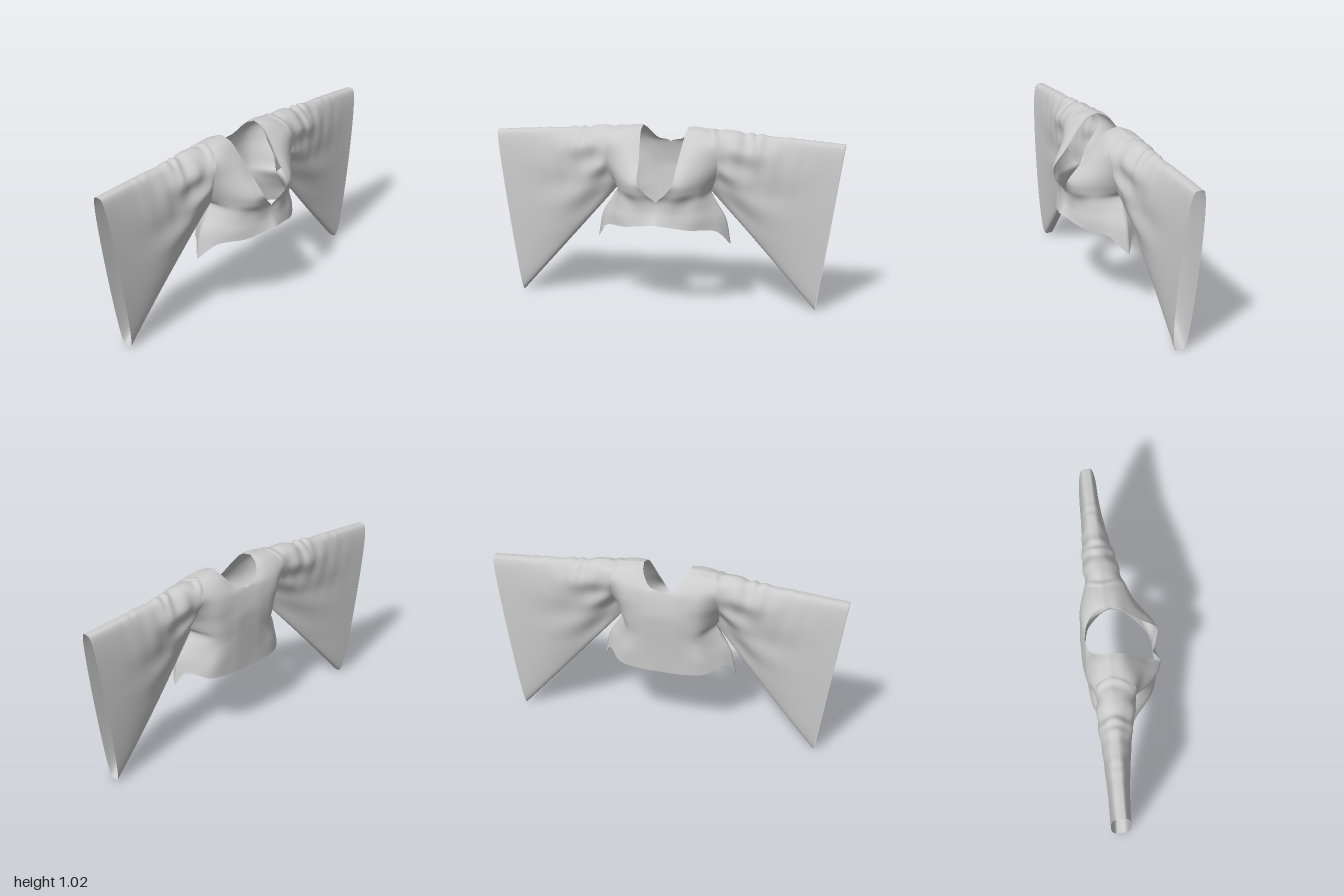
import * as THREE from 'three';
import { mergeGeometries, mergeVertices } from 'three/addons/utils/BufferGeometryUtils.js';

const { lerp, smoothstep } = THREE.MathUtils;
const V = (x, y, z) => new THREE.Vector3(x, y, z);
const cloth = new THREE.MeshStandardMaterial({ color: 0xcccccc, side: THREE.DoubleSide });

// Cloth sheet from at(u, v) on the +x side, or mirrored; flip reverses the facing
function sheet(at, nu, nv, sx, flip) {
  const pos = [], idx = [];
  for (let j = 0; j <= nv; j++)
    for (let i = 0; i <= nu; i++) {
      const p = at(i / nu, j / nv);
      pos.push(Math.max(0, p.x) * sx, p.y, p.z);
    }
  for (let j = 0; j < nv; j++)
    for (let i = 0; i < nu; i++) {
      const a = j * (nu + 1) + i, b = a + 1, c = a + nu + 1, d = c + 1;
      if (flip) idx.push(a, c, b, b, c, d);
      else idx.push(a, b, c, b, d, c);
    }
  const g = new THREE.BufferGeometry();
  g.setAttribute('position', new THREE.Float32BufferAttribute(pos, 3));
  g.setIndex(idx);
  return g;
}

// Sew sheets along their shared edges into one smooth mesh
function sew(name, sheets) {
  const g = mergeVertices(mergeGeometries(sheets), 1e-4);
  g.computeVertexNormals();
  const mesh = new THREE.Mesh(g, cloth);
  mesh.name = name;
  return mesh;
}

// Panel surface through rows of control points
function panelSurface(rows) {
  const across = rows.map(r => new THREE.CatmullRomCurve3(r.map(p => V(...p))));
  const columns = new Map();
  return (u, v) => {
    if (!columns.has(u)) columns.set(u, new THREE.CatmullRomCurve3(across.map(c => c.getPoint(u))));
    return columns.get(u).getPoint(v);
  };
}

// Half front, from shoulder to flared hem; each row runs neckline to side.
// The outer ends of the first seven rows form the armhole.
const front = panelSurface([
  [[0.13, 1.02, -0.075], [0.17, 1.02, -0.075], [0.21, 1.016, -0.075], [0.25, 1.012, -0.075]],
  [[0.128, 1, -0.005], [0.17, 1.003, -0.005], [0.22, 1, -0.005], [0.27, 0.99, -0.008]],
  [[0.12, 0.935, 0.056], [0.17, 0.938, 0.06], [0.235, 0.938, 0.06], [0.3, 0.935, 0.05]],
  [[0.108, 0.84, 0.13], [0.16, 0.84, 0.13], [0.235, 0.84, 0.098], [0.315, 0.84, 0.048]],
  [[0.096, 0.74, 0.21], [0.15, 0.74, 0.19], [0.225, 0.75, 0.125], [0.305, 0.76, 0.025]],
  [[0.055, 0.685, 0.202], [0.14, 0.685, 0.188], [0.225, 0.69, 0.11], [0.285, 0.7, -0.003]],
  [[0, 0.63, 0.178], [0.13, 0.635, 0.17], [0.23, 0.65, 0.09], [0.27, 0.67, -0.03]],
  [[0, 0.585, 0.182], [0.14, 0.585, 0.165], [0.255, 0.6, 0.075], [0.3, 0.61, -0.03]],
  [[0, 0.55, 0.198], [0.16, 0.535, 0.165], [0.29, 0.53, 0.07], [0.355, 0.52, -0.025]],
  [[0, 0.515, 0.22], [0.17, 0.485, 0.165], [0.315, 0.46, 0.06], [0.385, 0.37, -0.022]],
]);

// Half back, wrapping forward under the arm, with the side flap meeting the front
const back = panelSurface([
  [[0.13, 1.02, -0.075], [0.17, 1.02, -0.075], [0.21, 1.016, -0.075], [0.25, 1.012, -0.075]],
  [[0.118, 0.992, -0.13], [0.16, 0.998, -0.135], [0.215, 0.997, -0.135], [0.27, 0.99, -0.132]],
  [[0.07, 0.93, -0.178], [0.14, 0.93, -0.19], [0.215, 0.93, -0.188], [0.29, 0.93, -0.17]],
  [[0, 0.907, -0.194], [0.1, 0.865, -0.206], [0.21, 0.845, -0.2], [0.3, 0.84, -0.135]],
  [[0, 0.79, -0.216], [0.1, 0.775, -0.214], [0.21, 0.765, -0.187], [0.295, 0.76, -0.08]],
  [[0, 0.72, -0.214], [0.1, 0.71, -0.211], [0.205, 0.7, -0.18], [0.285, 0.7, -0.05]],
  [[0, 0.65, -0.209], [0.1, 0.65, -0.205], [0.2, 0.655, -0.173], [0.27, 0.67, -0.03]],
  [[0, 0.58, -0.203], [0.1, 0.58, -0.2], [0.195, 0.585, -0.178], [0.25, 0.597, -0.12], [0.3, 0.61, -0.03]],
  [[0, 0.5, -0.197], [0.11, 0.5, -0.194], [0.22, 0.505, -0.178], [0.285, 0.52, -0.11], [0.355, 0.52, -0.025]],
  [[0, 0.412, -0.19], [0.12, 0.414, -0.19], [0.25, 0.425, -0.165], [0.335, 0.45, -0.075], [0.385, 0.37, -0.022]],
]);

// Soft creases across the waist and flared hem
function creasedFront(u, v) {
  const p = front(u, v);
  const w = Math.sin(Math.PI * u) * smoothstep(v, 0.55, 0.75) * (1.3 - v);
  p.z += 0.012 * w * Math.sin(13 * u + 9 * v);
  return p;
}

// Sleeve: t runs armhole to cuff, k top to bottom, face is +1 front / -1 back
function sleevePoint(t, k, face) {
  const h = (1 - Math.cos(Math.PI * k)) / 2, s = Math.sin(Math.PI * k);
  const p = (face > 0 ? front : back)(1, k * 6 / 9);
  const cuff = V(lerp(1, 0.86, h), lerp(0.952, 0.003, h), lerp(-0.095, -0.083, h));
  cuff.z += face * 0.056 * Math.pow(Math.max(0, s), 0.45);
  const z = lerp(cuff.z, p.z, Math.pow(1 - t, 1.7));
  p.lerp(cuff, t);
  p.z = z;
  // broad drapes curving out of the armpit, fading to the cuff
  const fade = Math.sin(Math.PI * Math.sqrt(t)) * (1 - t);
  p.z += face * s * fade * (0.014 * Math.sin(12 * h - 9 * t * (1 - t) + 1.5) + 0.005 * Math.sin(23 * h + 11 * t));
  // small gathers along the shoulder line
  const ridge = Math.pow(1 - h, 4) * fade;
  p.y += ridge * 0.008 * Math.sin(48 * t + 2 * Math.sin(19 * t));
  p.z += ridge * s * face * 0.015 * Math.sin(40 * t + 5 * h);
  return p;
}

export function createModel() {
  const model = new THREE.Group();
  model.name = 'wideSleeveTop';
  const bodice = [];
  for (const [side, sx] of [['left', 1], ['right', -1]]) {
    bodice.push(sheet(creasedFront, 28, 54, sx, sx > 0), sheet(back, 28, 54, sx, sx < 0));
    // 36 steps down each face match the armhole edge of the panels
    const half = face => sheet((u, v) => sleevePoint(v, u, face), 36, 80, sx, sx * face < 0);
    model.add(sew(side + 'Sleeve', [half(1), half(-1)]));
  }
  model.add(sew('bodice', bodice));
  return model;
}
